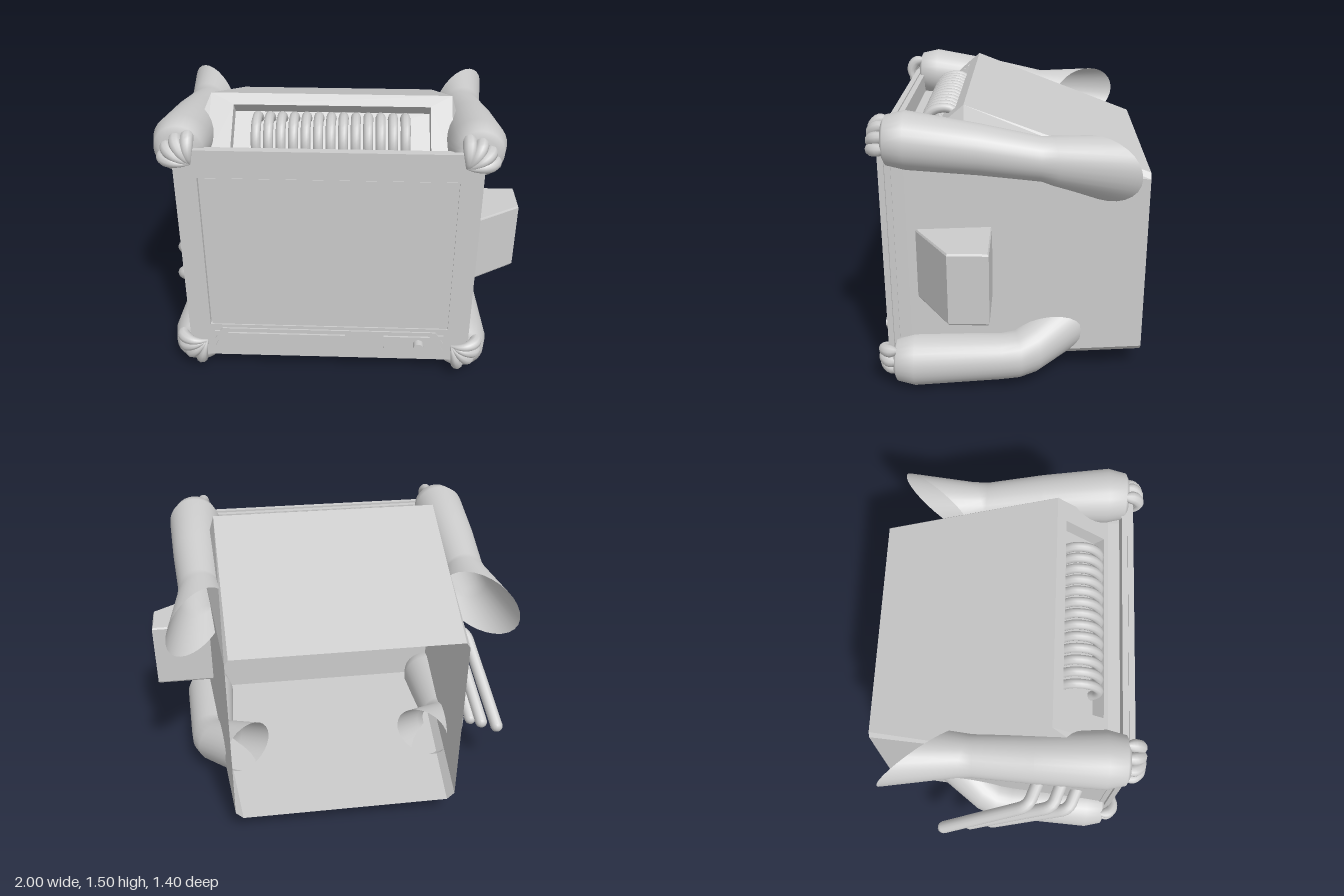
import * as THREE from 'three';

const grey = new THREE.MeshStandardMaterial({ color: 0xcccccc, side: THREE.DoubleSide });

export function createModel() {
  const root = new THREE.Group();
  const model = new THREE.Group();
  model.position.x = -0.02; // the cabinet sits slightly off centre
  root.add(model);

  const add = (name, geo, x = 0, y = 0, z = 0, parent = model) => {
    const m = new THREE.Mesh(geo, grey);
    m.name = name;
    m.position.set(x, y, z);
    parent.add(m);
    return m;
  };
  const box = (name, x0, x1, y0, y1, z0, z1) =>
    add(name, new THREE.BoxGeometry(x1 - x0, y1 - y0, z1 - z0), (x0 + x1) / 2, (y0 + y1) / 2, (z0 + z1) / 2);
  const poly = pts => new THREE.Shape(pts.map(p => new THREE.Vector2(...p)));
  const rect = (x0, x1, y0, y1) => poly([[x0, y0], [x1, y0], [x1, y1], [x0, y1]]);

  // Skin over closed cross-sections; skip(i, j) leaves a quad open
  const loft = (rings, flat = false, skip = () => false) => {
    const n = rings[0].length, idx = [];
    for (let i = 0; i < rings.length - 1; i++)
      for (let j = 0; j < n; j++) {
        if (skip(i, j)) continue;
        const k = (j + 1) % n, a = i * n + j, b = i * n + k, c = a + n, d = b + n;
        idx.push(a, b, d, a, d, c);
      }
    let g = new THREE.BufferGeometry();
    g.setAttribute('position', new THREE.Float32BufferAttribute(rings.flat(2), 3));
    g.setIndex(idx);
    if (flat) g = g.toNonIndexed();
    g.computeVertexNormals();
    return g;
  };

  // Cabinet: tapered shell, open at the back, roof rising to a ridge
  const section = (z, w, wallTop, roofW, roofTop) => [
    [-w + 0.04, 0.12, z], [w - 0.04, 0.12, z], [w, 0.16, z], [w, wallTop, z],
    [roofW, roofTop, z], [-roofW, roofTop, z], [-w, wallTop, z], [-w, 0.16, z]];
  add('cabinet', loft([
    section(-0.7, 0.61, 1.12, 0.59, 1.15),
    section(0.23, 0.705, 1.22, 0.62, 1.5),
    section(0.52, 0.735, 1.24, 0.62, 1.25),
    section(0.58, 0.74, 1.24, 0.62, 1.25),
  ], true, (i, j) => i === 1 && j === 4));

  // Sloping hood front with a recessed tray
  const hood = new THREE.Group();
  hood.name = 'hoodFront';
  hood.position.set(0, 1.5, 0.23);
  hood.rotation.x = -Math.atan2(0.29, 0.25);
  model.add(hood);
  const L = Math.hypot(0.29, 0.25);
  const hole = () => rect(-0.5, 0.51, -L + 0.03, -0.065);
  const face = rect(-0.62, 0.62, -L, 0);
  face.holes.push(hole());
  add('hoodFrame', new THREE.ShapeGeometry(face), 0, 0, 0, hood);
  const rim = rect(-0.51, 0.52, -L + 0.02, -0.055);
  rim.holes.push(hole());
  add('trayWalls', new THREE.ExtrudeGeometry(rim, { depth: 0.08, bevelEnabled: false }), 0, 0, -0.082, hood);
  add('trayBack', new THREE.ShapeGeometry(hole()), 0, 0, -0.08, hood);

  // Row of bent pipes in the tray
  const pipePath = new THREE.CatmullRomCurve3([[1.38, 0.27], [1.418, 0.33], [1.405, 0.41], [1.34, 0.46], [1.26, 0.46], [1.2, 0.42]]
    .map(([y, z]) => new THREE.Vector3(0, y, z)));
  const pipe = new THREE.TubeGeometry(pipePath, 18, 0.025, 10);
  for (let i = 0; i < 13; i++) add('pipe', pipe, -0.37 + i * 0.0625);

  // Front panel with recessed screen
  box('panelBack', -0.745, 0.745, 0.11, 1.36, 0.58, 0.612);
  const frame = rect(-0.76, 0.76, 0.1, 1.37);
  frame.holes.push(rect(-0.645, 0.645, 0.31, 1.22));
  add('panelFrame', new THREE.ExtrudeGeometry(frame, { depth: 0.03, bevelEnabled: false }), 0, 0, 0.61);
  box('screen', -0.635, 0.65, 0.3, 1.215, 0.6, 0.633);

  // Control strip with notched ends, slot, small plate and knob
  const half = [[0.58, 0.155], [0.595, 0.17], [0.625, 0.17], [0.61, 0.2], [0.625, 0.22],
    [0.61, 0.24], [0.625, 0.27], [0.595, 0.27], [0.58, 0.29]];
  const strip = poly([...half, ...half.map(([x, y]) => [-x, y]).reverse()]);
  add('controlStrip', new THREE.ExtrudeGeometry(strip, { depth: 0.01, bevelEnabled: false }), 0, 0, 0.638);
  box('slotPlate', -0.55, 0.09, 0.165, 0.265, 0.64, 0.658);
  box('knobPlate', 0.3, 0.55, 0.165, 0.265, 0.64, 0.658);
  add('knob', new THREE.CylinderGeometry(0.028, 0.028, 0.05, 20), 0.488, 0.22, 0.672).rotation.x = Math.PI / 2;

  // Side box with an angled front
  const sidePlan = poly([[0.66, -0.1], [1.01, -0.1], [1.01, -0.29], [0.7, -0.49]]);
  const sideBox = new THREE.ExtrudeGeometry(sidePlan, { depth: 0.36, bevelThickness: 0.01, bevelSize: 0.006, bevelSegments: 1 });
  add('sideBox', sideBox.rotateX(-Math.PI / 2), 0, 0.52, 0);

  // Three bent tubes on the other side
  [[[-0.7, 0.71, 0.2], [-0.86, 0.69, 0.14], [-0.945, 0.33, -0.35]],
    [[-0.7, 0.6, 0.33], [-0.84, 0.575, 0.28], [-0.905, 0.25, -0.2]],
    [[-0.7, 0.49, 0.43], [-0.83, 0.465, 0.38], [-0.88, 0.18, -0.07]]].forEach(pts => {
    const [a, b, c] = pts.map(p => new THREE.Vector3(...p));
    const path = new THREE.CurvePath();
    const p = b.clone().lerp(a, 0.3), q = b.clone().lerp(c, 0.1);
    path.add(new THREE.LineCurve3(a, p));
    path.add(new THREE.QuadraticBezierCurve3(p, b, q));
    path.add(new THREE.LineCurve3(q, c));
    add('sideTube', new THREE.TubeGeometry(path, 32, 0.036, 14));
    const end = add('sideTubeEnd', new THREE.SphereGeometry(0.036, 14, 8), c.x, c.y, c.z);
    end.scale.setScalar(0.99);
  });

  // Arms: rings of [centre, across vector (x, z), vertical radius]
  const arm = (name, side, rings) => add(name, loft(rings.map(([c, u, v]) =>
    Array.from({ length: 28 }, (_, i) => {
      const t = i / 28 * Math.PI * 2, k = Math.cos(t), s = Math.sin(t);
      return [side * (c[0] + u[0] * k), c[1] + v * s, c[2] + u[1] * k];
    }))));
  const paw = y => [
    [[0.73, y, 0.615], [0.001, 0], 0.001], [[0.73, y, 0.612], [0.09, 0], 0.09],
    [[0.73, y, 0.595], [0.122, 0], 0.122], [[0.73, y, 0.5], [0.145, 0], 0.143]];

  // Teardrop claw: thick root tapering to a tip that grips the panel
  const claw = (side, tip, angle) => {
    const dx = Math.cos(angle) * 0.13, dy = Math.sin(angle) * 0.13;
    const at = (f, z) => new THREE.Vector3(side * (tip[0] + dx * f), tip[1] + dy * f, z);
    const path = new THREE.CatmullRomCurve3([at(1.1, 0.59), at(1, 0.64), at(0.65, 0.668), at(0.3, 0.665), at(0, 0.645)]);
    const n = 16, r = 10, g = new THREE.TubeGeometry(path, n, 1, r), p = g.attributes.position;
    for (let i = 0; i < p.count; i++) {
      const t = Math.floor(i / (r + 1)) / n, c = path.getPointAt(t);
      const rad = 0.033 * Math.min(1, Math.sqrt(t * 5 + 0.2)) * (t < 0.4 ? 1 : 1 - 0.85 * (t - 0.4) / 0.6);
      const v = new THREE.Vector3().fromBufferAttribute(p, i).sub(c).multiplyScalar(rad).add(c);
      p.setXYZ(i, v.x, v.y, v.z);
    }
    add('claw', g);
  };

  for (const side of [-1, 1]) {
    arm('upperArm', side, [...paw(1.355),
      [[0.727, 1.31, 0.15], [0.125, 0], 0.125],
      [[0.715, 1.26, -0.15], [0.11, 0], 0.11],
      [[0.715, 1.25, -0.2], [0.113, -0.04], 0.122],
      [[0.73, 1.22, -0.43], [0.15, -0.19], 0.16]]);
    arm('lowerArm', side, [...paw(0.145),
      [[0.725, 0.16, 0.05], [0.125, 0], 0.122],
      [[0.715, 0.17, -0.03], [0.125, -0.03], 0.125],
      [[0.675, 0.195, -0.1], [0.128, -0.06], 0.14],
      [[0.52, 0.265, -0.27], [0.13, -0.1], 0.155]]);
    [88, 62, 36, 12].forEach(a => claw(side, [0.67, 1.3], a * Math.PI / 180));
    [12, -14, -42, -72].forEach(a => claw(side, [0.67, 0.2], a * Math.PI / 180));
  }
  return root;
}
